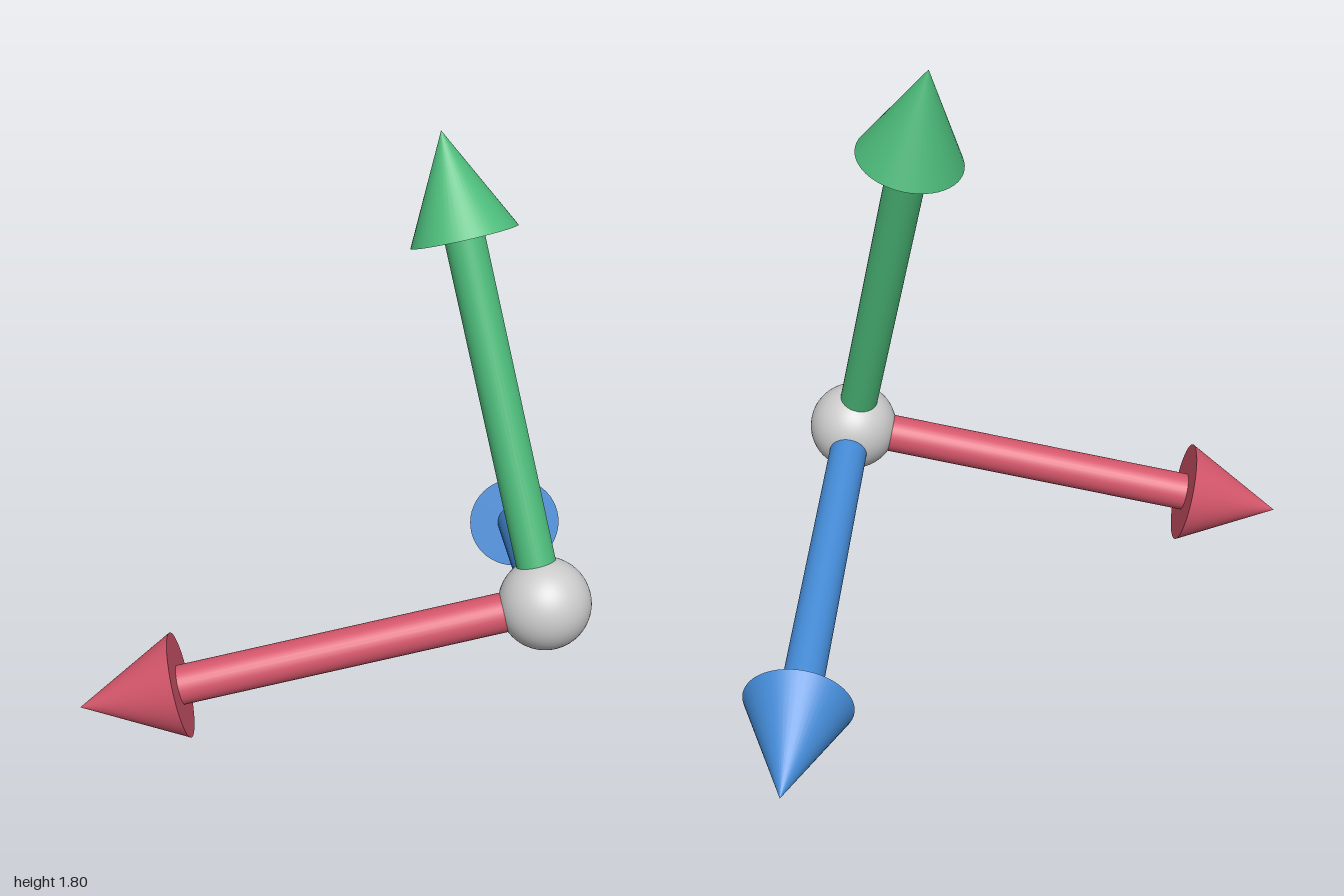
import * as THREE from 'three';

const LENGTH = 1.428, HEAD_LENGTH = 0.31, HEAD_RADIUS = 0.16, SHAFT_RADIUS = 0.06;

// One arrow built along +y from the origin, then turned to its direction
function makeArrow(name, color, direction) {
  const arrow = new THREE.Group();
  arrow.name = name;
  const material = new THREE.MeshStandardMaterial({ color });
  const shaftLength = LENGTH - HEAD_LENGTH;

  const shaft = new THREE.Mesh(
    new THREE.CylinderGeometry(SHAFT_RADIUS, SHAFT_RADIUS, shaftLength, 32), material);
  shaft.name = name + 'Shaft';
  shaft.position.y = shaftLength / 2;

  const head = new THREE.Mesh(new THREE.ConeGeometry(HEAD_RADIUS, HEAD_LENGTH, 48), material);
  head.name = name + 'Head';
  head.position.y = LENGTH - HEAD_LENGTH / 2;

  arrow.add(shaft, head);
  arrow.quaternion.setFromUnitVectors(new THREE.Vector3(0, 1, 0), direction);
  return arrow;
}

export function createModel() {
  const model = new THREE.Group();
  model.name = 'axisArrows';

  // Ball at the shared origin
  const ball = new THREE.Mesh(
    new THREE.SphereGeometry(0.14, 48, 32),
    new THREE.MeshStandardMaterial({ color: 0xcccccc }));
  ball.name = 'originBall';
  model.add(ball);

  // Three perpendicular arrows: turned about y, then tilted back
  const tilt = new THREE.Euler(
    THREE.MathUtils.degToRad(-20), THREE.MathUtils.degToRad(-37), 0, 'XYZ');
  const axes = [
    ['redArrow', 0xd5566b, [-1, 0, 0]],
    ['greenArrow', 0x4cbb7a, [0, 1, 0]],
    ['blueArrow', 0x4389d4, [0, 0, -1]],
  ];
  for (const [name, color, axis] of axes) {
    const direction = new THREE.Vector3(...axis).applyEuler(tilt);
    model.add(makeArrow(name, color, direction));
  }

  model.position.set(0.14, 0.458, 0.465);
  const root = new THREE.Group();
  root.add(model);
  return root;
}
